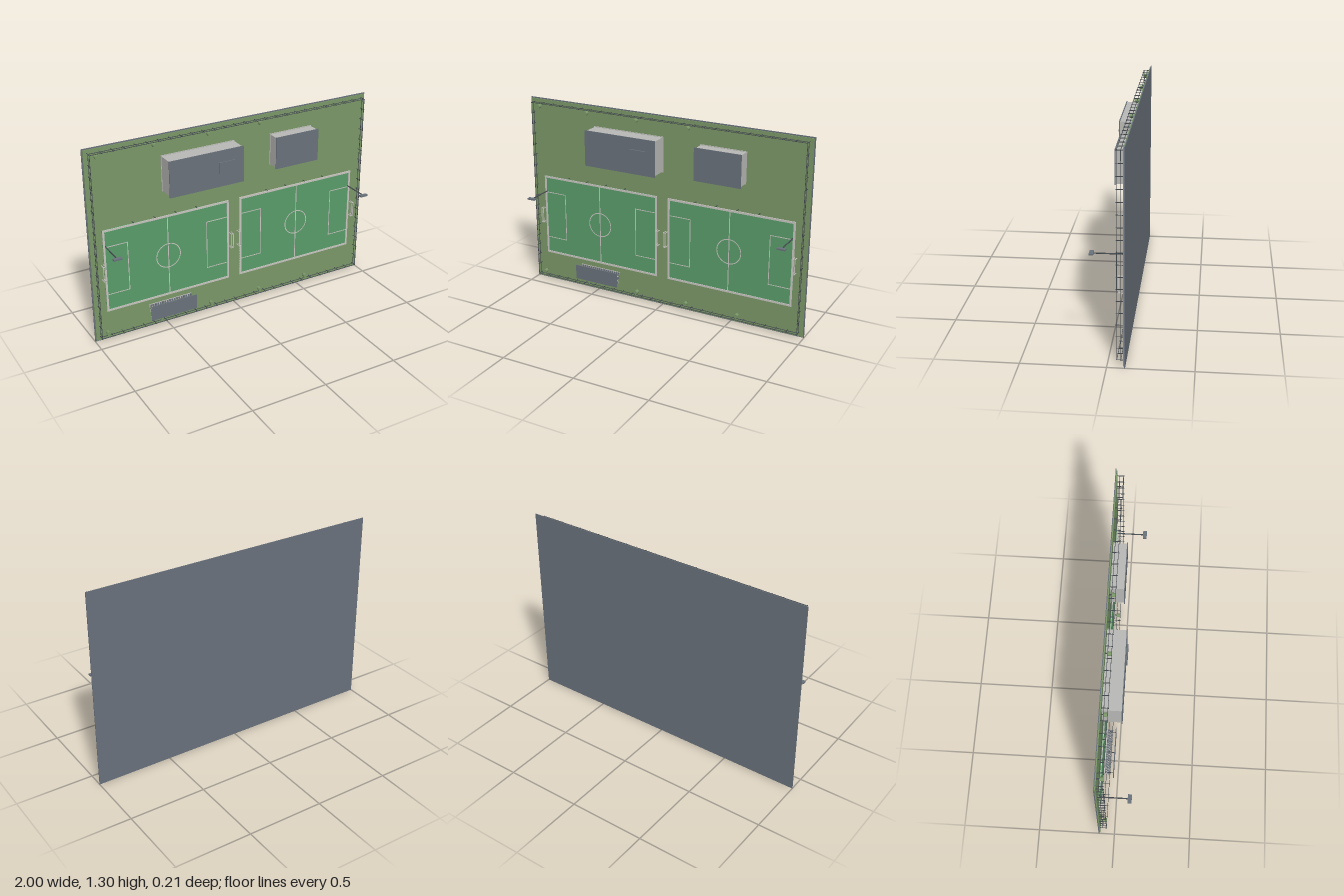
import * as THREE from 'three';

const mat = (name, color) => {
  const m = new THREE.MeshStandardMaterial({ color });
  m.name = name;
  return m;
};

export function createModel() {
  const grass = mat('grass', 0x7a9768);
  const turf = mat('turf', 0x5a9c6a);
  const slate = mat('slate grey', 0x69717b);
  const wall = mat('wall grey', 0xb8b8b5);
  const line = mat('line white', 0xc8c5c0);
  const metal = mat('dark metal', 0x454b50);

  const root = new THREE.Group();
  root.name = 'sportsGround';
  const G = -0.094; // ground surface; everything rises from it along +z

  const group = (name) => {
    const g = new THREE.Group();
    g.name = name;
    root.add(g);
    return g;
  };
  // Box given by its limits on each axis
  const box = (parent, name, m, x0, x1, y0, y1, z0, z1) => {
    const mesh = new THREE.Mesh(new THREE.BoxGeometry(x1 - x0, y1 - y0, z1 - z0), m);
    mesh.position.set((x0 + x1) / 2, (y0 + y1) / 2, (z0 + z1) / 2);
    mesh.name = name;
    parent.add(mesh);
    return mesh;
  };
  // Round post standing on the ground, along z
  const post = (parent, name, m, x, y, r, z0, z1, sides = 8) => {
    const mesh = new THREE.Mesh(new THREE.CylinderGeometry(r, r, z1 - z0, sides), m);
    mesh.rotation.x = Math.PI / 2;
    mesh.position.set(x, y, (z0 + z1) / 2);
    mesh.name = name;
    parent.add(mesh);
    return mesh;
  };
  // Hollow rectangle made of four bars
  const frame = (parent, name, m, x0, x1, y0, y1, w, z0, z1) => {
    box(parent, name, m, x0, x1, y0, y0 + w, z0, z1);
    box(parent, name, m, x0, x1, y1 - w, y1, z0, z1);
    box(parent, name, m, x0, x0 + w, y0 + w, y1 - w, z0, z1);
    box(parent, name, m, x1 - w, x1, y0 + w, y1 - w, z0, z1);
  };

  // Base slab and lawn
  const ground = group('ground');
  box(ground, 'baseSlab', slate, -1, 1, 0, 1.305, -0.105, -0.1);
  box(ground, 'lawn', grass, -0.993, 0.993, 0.007, 1.298, -0.1, G);

  // Two pitches with markings, kerbs, goals and small edge posts
  for (const cx of [-0.475, 0.475]) {
    const pitch = group('pitch');
    const x0 = cx - 0.435, x1 = cx + 0.435, y0 = 0.2, y1 = 0.765, cy = 0.4825;
    const zt = G + 0.003, zl = zt + 0.001;
    box(pitch, 'turf', turf, x0, x1, y0, y1, G, zt);
    frame(pitch, 'kerb', line, x0, x1, y0, y1, 0.013, G, -0.087);
    box(pitch, 'centreLine', line, cx - 0.003, cx + 0.003, y0, y1, zt, zl);
    const circle = new THREE.Mesh(new THREE.RingGeometry(0.08, 0.086, 48), line);
    circle.position.set(cx, cy, zl);
    circle.name = 'centreCircle';
    pitch.add(circle);
    for (const s of [-1, 1]) {
      const a = cx + s * 0.272, b = cx + s * 0.43;
      frame(pitch, 'penaltyArea', line, Math.min(a, b), Math.max(a, b), 0.315, 0.65, 0.005, zt, zl);
      // Goal: two uprights, crossbar and rear frame
      const gx = cx + s * 0.439, back = gx + s * 0.014;
      for (const y of [0.432, 0.532]) {
        box(pitch, 'goalPost', line, gx - 0.002, gx + 0.002, y - 0.002, y + 0.002, G, -0.06);
        box(pitch, 'goalStay', line, back - 0.002, back + 0.002, y - 0.002, y + 0.002, G, -0.06);
        box(pitch, 'goalSideBar', line, Math.min(gx, back), Math.max(gx, back), y - 0.002, y + 0.002, -0.063, -0.06);
      }
      for (const x of [gx, back])
        box(pitch, 'goalCrossbar', line, x - 0.002, x + 0.002, 0.43, 0.534, -0.063, -0.059);
    }
    for (let i = 0; i < 4; i++)
      post(pitch, 'edgePost', metal, cx - 0.235 + i * 0.145, 0.776, 0.003, G, -0.074, 6);
  }

  // Buildings: plinth, walls and overhanging flat roof
  const building = (name, x0, x1, y0, y1, top) => {
    const b = group(name);
    box(b, 'plinth', wall, x0 - 0.004, x1 + 0.004, y0 - 0.004, y1 + 0.004, G, -0.088);
    box(b, 'walls', wall, x0, x1, y0, y1, G, top - 0.005);
    box(b, 'roof', slate, x0 - 0.006, x1 + 0.006, y0 - 0.006, y1 + 0.006, top - 0.005, top);
    return b;
  };
  const main = building('mainBuilding', -0.5, 0, 0.938, 1.164, 0.026);
  box(main, 'roofUnit', slate, -0.17, -0.06, 1.02, 1.095, 0.026, 0.035);
  building('smallBuilding', 0.267, 0.572, 0.952, 1.154, -0.005);

  // Grandstand: stepped seat rows under a canopy on posts
  const stand = group('grandstand');
  for (let r = 0; r < 3; r++) {
    const y = 0.16 - r * 0.028, z = -0.084 + r * 0.011;
    box(stand, 'step', wall, -0.625, -0.325, y - 0.012, y + 0.008, z - 0.004, z);
    for (let i = 0; i < 18; i++) {
      const x = -0.62 + i * 0.0168;
      box(stand, 'seat', slate, x, x + 0.01, y - 0.006, y + 0.005, z, z + 0.004);
      box(stand, 'seatBack', slate, x, x + 0.01, y - 0.009, y - 0.006, z, z + 0.012);
    }
  }
  for (const x of [-0.615, -0.475, -0.335])
    post(stand, 'canopyPost', metal, x, 0.13, 0.003, G, -0.03);
  box(stand, 'canopy', slate, -0.637, -0.314, 0.08, 0.18, -0.031, -0.026);

  // Floodlight masts
  for (const s of [-1, 1]) {
    const lamp = group('floodlight');
    post(lamp, 'mast', metal, s * 0.895, 0.655, 0.004, G, 0.09);
    box(lamp, 'lampHead', slate, s * 0.895 - 0.027, s * 0.895 + 0.027, 0.65, 0.66, 0.08, 0.105);
  }

  // Round clipped trees along both long sides
  const trees = group('trees');
  const xs = [-0.92, -0.552, -0.185, 0.183, 0.55];
  for (const [y, n] of [[1.253, 4], [0.06, 5]])
    for (const x of xs.slice(0, n)) {
      post(trees, 'trunk', metal, x, y, 0.004, G, -0.08);
      post(trees, 'crown', grass, x, y, 0.013, -0.081, -0.055, 16);
    }

  // Perimeter fence: posts and two rails
  const fence = group('fence');
  const fx = 0.968, b = 0.035, t = 1.277, r = 0.0015;
  for (let i = 0; i <= 26; i++)
    for (const y of [b, t])
      post(fence, 'fencePost', metal, -fx + (2 * fx * i) / 26, y, 0.0025, G, -0.05, 6);
  for (let i = 1; i < 17; i++)
    for (const x of [-fx, fx])
      post(fence, 'fencePost', metal, x, b + ((t - b) * i) / 17, 0.0025, G, -0.05, 6);
  for (const z of [-0.078, -0.055])
    frame(fence, 'rail', metal, -fx - r, fx + r, b - r, t + r, 2 * r, z - r, z + r);

  return root;
}
